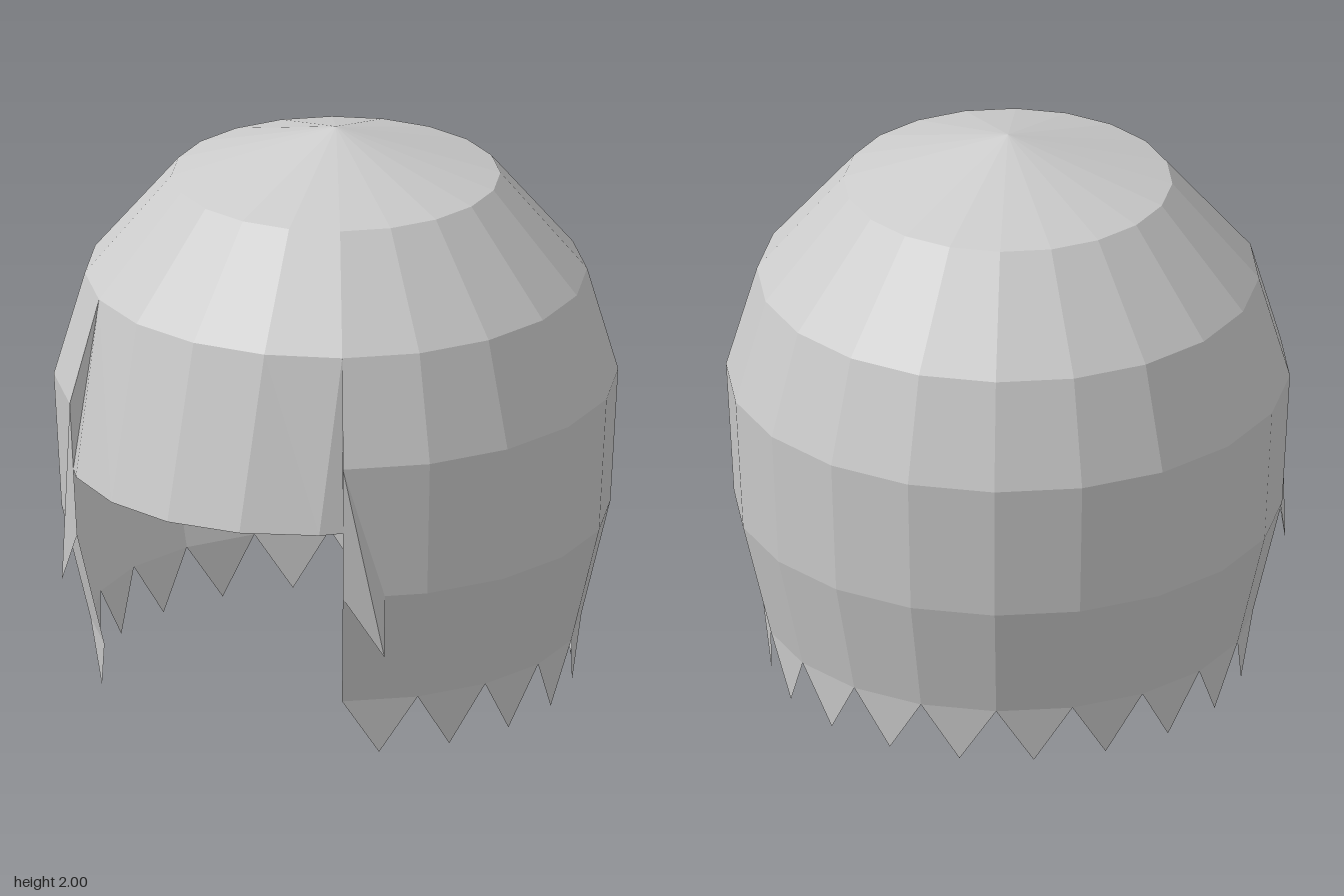
import * as THREE from 'three';

const SEGMENTS = 20;
const STEP = (Math.PI * 2) / SEGMENTS;
const CENTRE_Z = -0.025;
const OPEN = 2 * STEP; // half angle of the face opening

const material = new THREE.MeshStandardMaterial({
  color: 0xcccccc, flatShading: true, side: THREE.DoubleSide,
});

// Point on a ring; the angle is measured from the front towards +x
const ring = (r, y, a) => [r * Math.sin(a), y, CENTRE_Z + r * Math.cos(a)];

function addMesh(group, name, geometry) {
  const flat = geometry.index ? geometry.toNonIndexed() : geometry;
  flat.computeVertexNormals();
  const mesh = new THREE.Mesh(flat, material);
  mesh.name = name;
  group.add(mesh);
}

// Faceted surface of revolution, profile given from bottom to top
function revolve(profile, segments, start, length) {
  const points = profile.map(([r, y]) => new THREE.Vector2(r, y));
  return new THREE.LatheGeometry(points, segments, start, length).translate(0, 0, CENTRE_Z);
}

function triangles(list) {
  const geometry = new THREE.BufferGeometry();
  geometry.setAttribute('position', new THREE.Float32BufferAttribute(list.flat(2), 3));
  return geometry;
}

const quad = (a, b, c, d) => [[a, b, c], [a, c, d]];

export function createModel() {
  const group = new THREE.Group();
  group.name = 'hair';

  // Closed crown
  addMesh(group, 'crown',
    revolve([[0.866, 1.47], [0.567, 1.825], [0, 2]], SEGMENTS, 0, Math.PI * 2));

  // Sides and back, open towards the face
  addMesh(group, 'sidesAndBack',
    revolve([[0.846, 0.2], [0.946, 0.615], [0.973, 1.1], [0.866, 1.47]],
      SEGMENTS - 4, OPEN, Math.PI * 2 - 2 * OPEN));

  // Pointed strand ends, one below each side segment
  const ends = [];
  for (let i = 2; i < SEGMENTS - 2; i++) {
    ends.push([
      ring(0.846, 0.2, i * STEP),
      ring(0.82, 0, (i + 0.5) * STEP),
      ring(0.846, 0.2, (i + 1) * STEP),
    ]);
  }
  addMesh(group, 'strandEnds', triangles(ends));

  // Fringe: four panels leaning forward as they fall
  const fringe = [];
  const top = (i) => ring(0.866, 1.47, i * STEP);
  const bottom = (i) => {
    const [x, , z] = top(i);
    return [x, 0.86, z + [0.159, 0.152, 0.14][Math.abs(i)]];
  };
  for (let i = -2; i < 2; i++) {
    fringe.push(...quad(top(i), bottom(i), bottom(i + 1), top(i + 1)));
  }
  addMesh(group, 'fringe', triangles(fringe));

  for (const side of [1, -1]) {
    const prefix = side > 0 ? 'left' : 'right';
    const orient = (t) => (side > 0 ? t : [t[0], t[2], t[1]]);
    const temple = ring(0.973, 1.1, side * OPEN);
    const cheek = ring(0.946, 0.615, side * OPEN);

    // Narrow panel closing the fringe against the side hair
    const low = ring(0.96, 0.86, side * OPEN);
    addMesh(group, prefix + 'FringeSide', triangles(
      quad(top(2 * side), bottom(2 * side), low, temple).map(orient)));

    // Sideburn lock standing off the front edge
    const tip = [side * 0.675, 0.4, 0.66];
    const outer = ring(0.934, 0.615, side * 2.5 * STEP);
    addMesh(group, prefix + 'Sideburn', triangles(
      [[temple, cheek, tip], [temple, tip, outer]].map(orient)));
  }

  return group;
}
